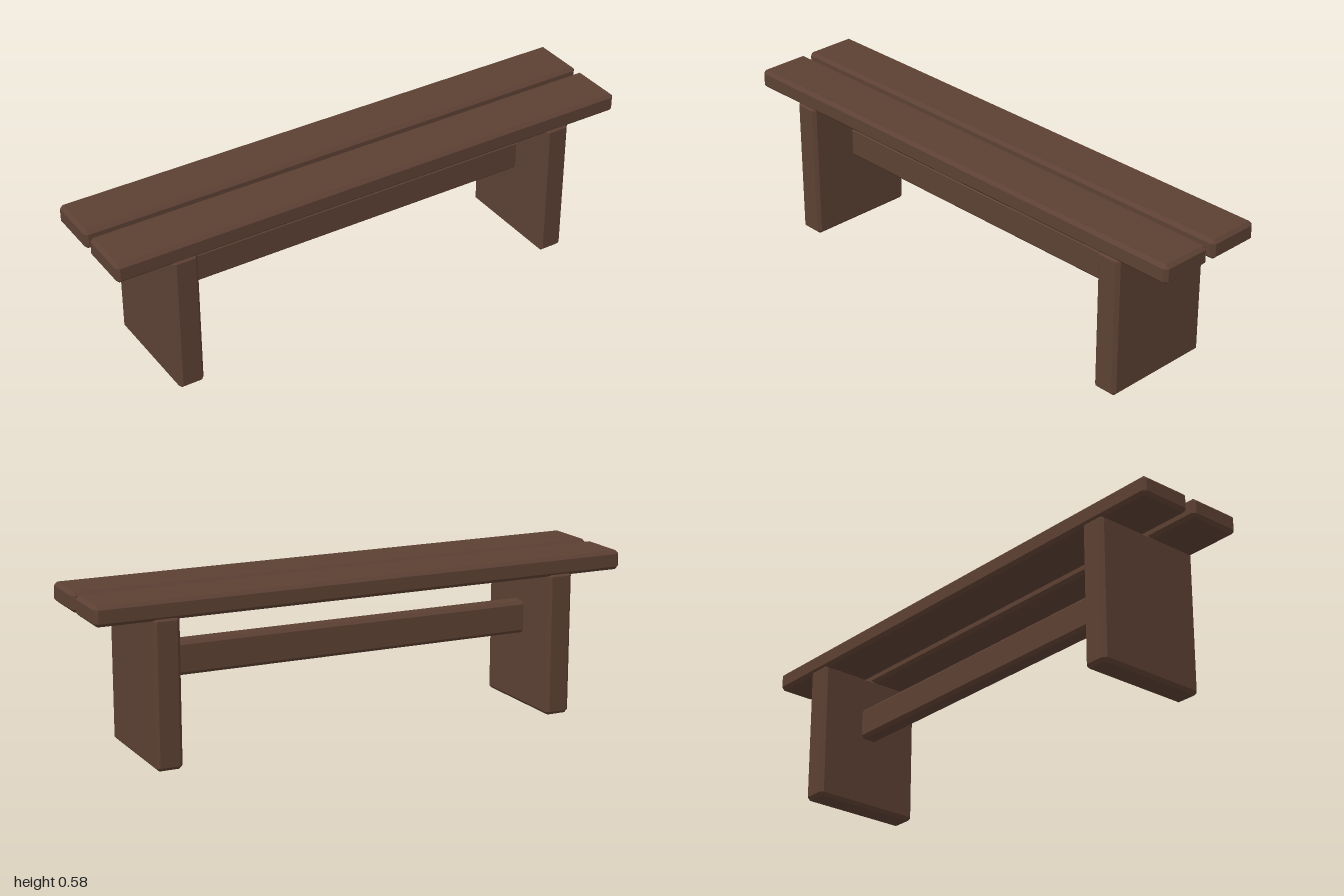
import * as THREE from 'three';
import { ConvexGeometry } from 'three/addons/geometries/ConvexGeometry.js';

const CHAMFER = 0.012;

// Box with every edge and corner cut flat, given by its full size
function chamferedBox(width, height, depth, c = CHAMFER) {
  const points = [];
  const [x, y, z] = [width / 2, height / 2, depth / 2];
  for (const sx of [-1, 1]) for (const sy of [-1, 1]) for (const sz of [-1, 1]) {
    points.push(
      new THREE.Vector3(sx * x, sy * (y - c), sz * (z - c)),
      new THREE.Vector3(sx * (x - c), sy * y, sz * (z - c)),
      new THREE.Vector3(sx * (x - c), sy * (y - c), sz * z)
    );
  }
  return new ConvexGeometry(points);
}

export function createModel() {
  const bench = new THREE.Group();
  bench.name = 'bench';
  const wood = new THREE.MeshStandardMaterial({ color: 0x5c4033 });
  wood.name = 'dark brown wood';

  const add = (name, geometry, x, y, z) => {
    const mesh = new THREE.Mesh(geometry, wood);
    mesh.name = name;
    mesh.position.set(x, y, z);
    bench.add(mesh);
  };

  // Two seat planks with a narrow gap between them
  const plank = chamferedBox(2, 0.07, 0.199);
  add('frontSeatPlank', plank, 0, 0.55, 0.1125);
  add('backSeatPlank', plank, 0, 0.55, -0.1125);

  // Slab legs, let slightly into the planks
  const leg = chamferedBox(0.095, 0.525, 0.424);
  add('leftLeg', leg, 0.7525, 0.2625, 0);
  add('rightLeg', leg, -0.7525, 0.2625, 0);

  // Stretcher joining the legs, its ends set inside them
  add('stretcher', chamferedBox(1.45, 0.12, 0.07), 0, 0.33, 0);

  return bench;
}
